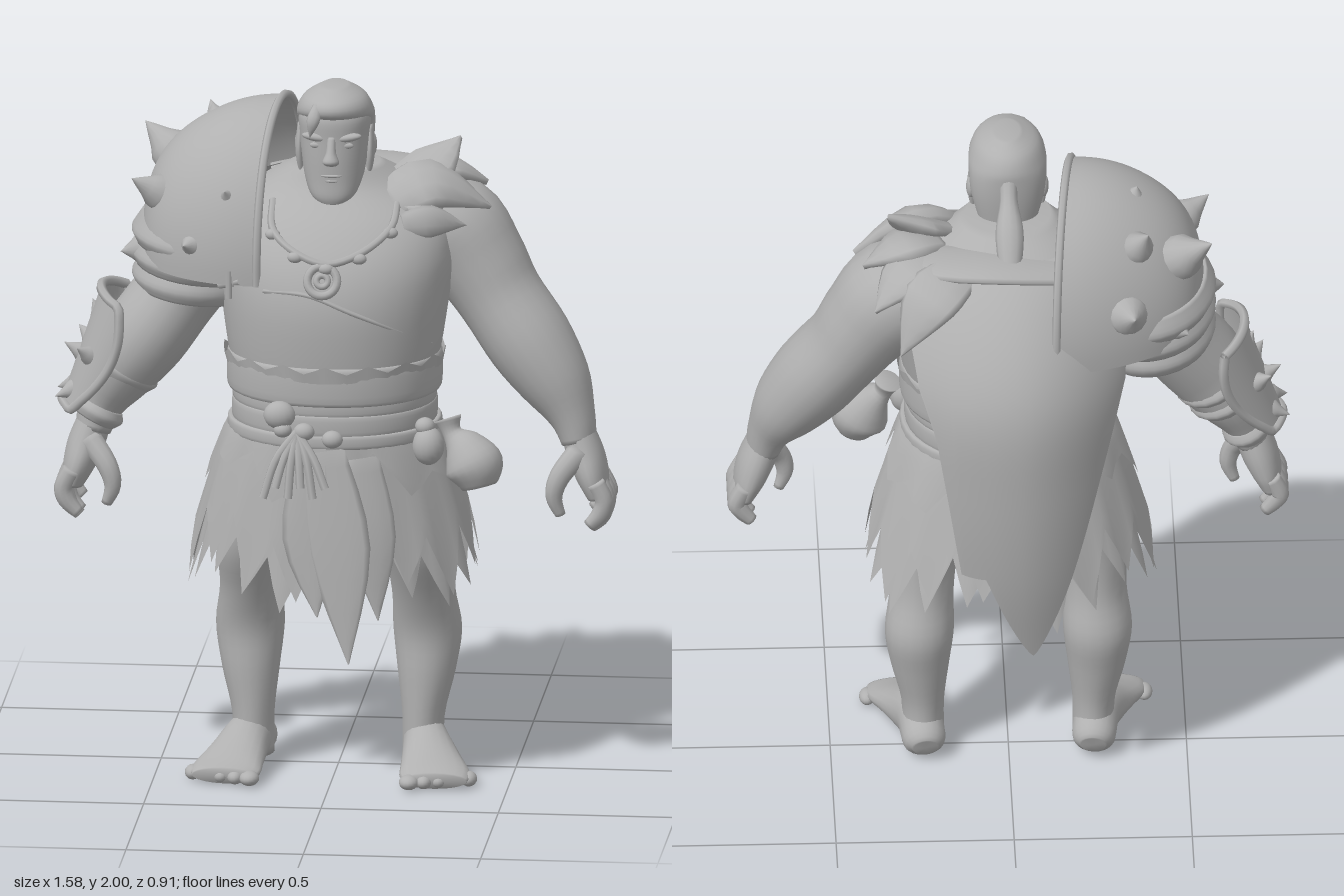
import * as THREE from 'three';

const grey = new THREE.MeshStandardMaterial({ color: 0xb0b0b0, side: THREE.DoubleSide });
grey.name = 'stone grey';
const V = (x, y, z) => new THREE.Vector3(x, y, z);

function geometryFrom(pos, index) {
  const g = new THREE.BufferGeometry();
  g.setAttribute('position', new THREE.Float32BufferAttribute(pos, 3));
  g.setIndex(index);
  g.computeVertexNormals();
  return g;
}

// Smooth body through rows [x, y, z, radiusAcross, radiusAlongRef]
function loft(rows, { n = 20, flat = false, ref = V(0, 0, 1), pow = 2 } = {}) {
  const at = (s) => {
    const i = Math.min(Math.floor(s), rows.length - 2), t = s - i;
    const [a, b, c, d] = [i - 1, i, i + 1, i + 2].map((k) => rows[Math.max(0, Math.min(rows.length - 1, k))]);
    return b.map((_, k) => 0.5 * (2 * b[k] + (c[k] - a[k]) * t + (2 * a[k] - 5 * b[k] + 4 * c[k] - d[k]) * t * t
      + (3 * b[k] - a[k] - 3 * c[k] + d[k]) * t ** 3));
  };
  const last = rows.length - 1, rings = [[0, 0.001]];
  for (let i = 0; i <= last * 4; i++) rings.push([i / 4, 1]);
  rings.push([last, 0.001]);
  const pos = [], index = [];
  const up = V(0, Math.sign(rows[last][1] - rows[0][1]), 0);
  for (const [s, k] of rings) {
    const p = at(s), q0 = at(Math.max(0, s - 0.05)), q1 = at(Math.min(last, s + 0.05));
    const T = flat ? up : V(q1[0] - q0[0], q1[1] - q0[1], q1[2] - q0[2]).normalize();
    const U = ref.clone().addScaledVector(T, -T.dot(ref)).normalize(), W = T.clone().cross(U);
    for (let j = 0; j < n; j++) {
      const th = j / n * Math.PI * 2;
      const e = (v) => Math.sign(v) * Math.abs(v) ** (2 / pow);
      const a = Math.max(0, p[3]) * k * e(Math.cos(th)), b = Math.max(0, p[4]) * k * e(Math.sin(th));
      pos.push(p[0] + W.x * a + U.x * b, p[1] + W.y * a + U.y * b, p[2] + W.z * a + U.z * b);
    }
  }
  for (let i = 0; i < rings.length - 1; i++) for (let j = 0; j < n; j++) {
    const a = i * n + j, b = i * n + (j + 1) % n, c = a + n, d = b + n;
    index.push(a, c, b, b, c, d);
  }
  return geometryFrom(pos, index);
}

// Open surface from a rule f(u, v)
function sheet(nu, nv, f) {
  const pos = [], index = [];
  for (let i = 0; i <= nv; i++) for (let j = 0; j <= nu; j++) pos.push(...f(j / nu, i / nv));
  for (let i = 0; i < nv; i++) for (let j = 0; j < nu; j++) {
    const a = i * (nu + 1) + j, c = a + nu + 1;
    index.push(a, c, a + 1, a + 1, c, c + 1);
  }
  return geometryFrom(pos, index);
}

const tube = (pts, r, n = 32) => new THREE.TubeGeometry(new THREE.CatmullRomCurve3(pts.map((p) => V(...p))), n, r, 6);
const mix = THREE.MathUtils.lerp;
const zigzag = (x) => Math.abs((x - Math.floor(x)) * 2 - 1);

export function createModel() {
  const root = new THREE.Group();
  root.name = 'barbarian';
  const add = (name, geo) => {
    const m = new THREE.Mesh(geo, grey);
    m.name = name;
    root.add(m);
    return m;
  };
  const ball = (name, x, y, z, a, b, c) => {
    const m = add(name, new THREE.SphereGeometry(1, 16, 12));
    m.position.set(x, y, z);
    m.scale.set(a, b, c);
    return m;
  };
  // Pointed blade through three points, lying across the normal
  const blade = (name, p, q, r, w, normal, thick = 0.012) => {
    const row = (k, s) => [...k, w * s, thick * Math.max(s, 0.3)];
    return add(name, loft([row(p, 0.7), row(q, 1), row(r, 0.02)], { n: 10, ref: V(...normal) }));
  };
  const spike = (name, p, d, r, h) => {
    const pts = [[1.25, -0.2], [1.15, 0.08], [0.75, 0.35], [0.3, 0.75], [0, 1]];
    const m = add(name, new THREE.LatheGeometry(pts.map(([a, b]) => new THREE.Vector2(a * r, b * h)), 14));
    m.position.copy(p);
    m.quaternion.setFromUnitVectors(V(0, 1, 0), d.clone().normalize());
  };

  // Torso
  add('torso', loft([[0, 0.9, 0.075, 0.26, 0.22], [0, 1.0, 0.095, 0.28, 0.245], [0, 1.12, 0.105, 0.275, 0.245],
    [0, 1.25, 0.1, 0.3, 0.27], [0, 1.4, 0.08, 0.322, 0.295], [0, 1.52, 0.05, 0.335, 0.29],
    [0, 1.62, 0.015, 0.31, 0.25], [0, 1.7, -0.01, 0.21, 0.18], [0, 1.76, 0.03, 0.12, 0.11]], { n: 40, flat: true, pow: 2.1 }));
  add('neck', loft([[0, 1.6, 0.02, 0.13, 0.13], [0, 1.7, 0.06, 0.09, 0.1], [0, 1.8, 0.08, 0.08, 0.08]], { flat: true }));

  // Waist wraps and belt
  const band = (name, y, h, rx, rz) => add(name, loft([[0, y - h, 0.103, rx - 0.015, rz - 0.015], [0, y - h * 0.8, 0.103, rx, rz],
    [0, y + h * 0.8, 0.103, rx, rz], [0, y + h, 0.103, rx - 0.015, rz - 0.015]], { n: 40, flat: true, pow: 2.1 }));
  band('leatherWaist', 1.185, 0.055, 0.302, 0.278);
  band('upperBelt', 1.12, 0.025, 0.286, 0.262);
  band('lowerBelt', 1.07, 0.032, 0.288, 0.265);
  band('hipCord', 1.025, 0.02, 0.3, 0.268);
  add('waistRaggedEdge', sheet(64, 2, (u, v) => {
    const th = u * Math.PI * 2, y = mix(1.2, 1.228 + 0.022 * zigzag(u * 16), v), k = 1 + 0.025 * v;
    return [Math.sin(th) * 0.304 * k, y, 0.103 + Math.cos(th) * 0.28 * k];
  }));

  // Ragged skirt layers
  const skirt = (name, n, hem, amp, k, shift) => add(name, sheet(n * 4, 6, (u, v) => {
    const th = u * Math.PI * 2;
    const end = hem + amp * zigzag(u * n + shift) + 0.04 * Math.sin(th * 5);
    const y = mix(1.03, end, v), f = (1.03 - y) / 0.43;
    const rip = 1 + 0.02 * v * Math.cos(th * n);
    return [Math.sin(th) * mix(0.29, 0.42, f ** 0.8) * k * rip, y, mix(0.1, 0.065, f) + Math.cos(th) * mix(0.26, 0.335, f) * k * rip];
  }));
  skirt('skirtOuter', 16, 0.6, 0.17, 1, 0);
  skirt('skirtInner', 20, 0.57, 0.14, 0.94, 0.5);
  skirt('skirtTop', 11, 0.88, 0.08, 1.03, 0.25);
  blade('frontFlap', [-0.01, 1.0, 0.365], [0.04, 0.72, 0.395], [0.07, 0.4, 0.425], 0.09, [0, 0, 1]);
  blade('frontFlap', [-0.03, 1.0, 0.36], [-0.04, 0.75, 0.385], [-0.02, 0.53, 0.41], 0.08, [0, 0, 1]);
  blade('frontFlap', [0.1, 0.98, 0.35], [0.13, 0.75, 0.375], [0.15, 0.52, 0.39], 0.07, [0.3, 0, 1]);

  // Limbs, mirrored
  for (const [s, side] of [[1, 'left'], [-1, 'right']]) {
    const m = (rows) => rows.map(([x, ...r]) => [x * s, ...r]);
    const f = s < 0 ? 0.055 : 0.01; // the right arm is held further forward
    add(side + 'Leg', loft(m([[0.24, 0.03, 0, 0.06, 0.085], [0.24, 0.15, 0.005, 0.06, 0.08], [0.248, 0.28, -0.005, 0.082, 0.09],
      [0.25, 0.4, -0.015, 0.097, 0.1], [0.242, 0.52, 0.022, 0.09, 0.108], [0.232, 0.65, 0.06, 0.105, 0.138],
      [0.18, 0.8, 0.075, 0.14, 0.165], [0.15, 0.96, 0.08, 0.14, 0.18]]), { flat: true }));
    add(side + 'Foot', loft(m([[0.235, 0.05, -0.1, 0.035, 0.03], [0.238, 0.06, -0.07, 0.06, 0.058], [0.25, 0.075, 0.03, 0.065, 0.075],
      [0.275, 0.052, 0.14, 0.085, 0.05], [0.293, 0.033, 0.22, 0.1, 0.032], [0.297, 0.024, 0.27, 0.09, 0.022]]), { ref: V(0, 1, 0) }));
    for (let i = 0; i < 5; i++) {
      ball(side + 'Toe', s * (0.225 + i * 0.041), 0.021, 0.272 - i * 0.014, i ? 0.023 : 0.028, 0.021, 0.034);
    }
    add(side + 'Arm', loft(m([[0.2, 1.59, -0.05 + f, 0.11, 0.15], [0.31, 1.555, -0.055 + f, 0.15, 0.165], [0.39, 1.46, -0.045 + f, 0.137, 0.152],
      [0.455, 1.36, -0.03 + f, 0.121, 0.142], [0.542, 1.24, f, 0.121, 0.138], [0.618, 1.13, 0.03 + f * 0.4, 0.1, 0.115],
      [0.665, 1.04, 0.055, 0.066, 0.08], [0.685, 0.97, 0.065, 0.05, 0.065]])));
    add(side + 'Palm', loft(m([[0.68, 1.0, 0.065, 0.048, 0.06], [0.705, 0.93, 0.065, 0.052, 0.08],
      [0.725, 0.87, 0.07, 0.045, 0.09], [0.74, 0.82, 0.07, 0.032, 0.082]])));
    for (let i = 0; i < 4; i++) {
      const z = 0.142 - i * 0.046, d = i === 3 ? 0.03 : i === 0 ? 0.015 : 0;
      add(side + 'Finger', loft(m([[0.738, 0.87, z, 0.026, 0.025], [0.762, 0.82, z, 0.026, 0.025],
        [0.752, 0.765 + d, z, 0.025, 0.023], [0.72, 0.73 + d, z, 0.018, 0.018]]), { n: 10 }));
    }
    add(side + 'Thumb', loft(m([[0.69, 0.95, 0.11, 0.035, 0.035], [0.64, 0.89, 0.145, 0.03, 0.028],
      [0.622, 0.83, 0.15, 0.024, 0.024], [0.64, 0.775, 0.145, 0.015, 0.015]]), { n: 10 }));
    // Face and hair details
    ball(side + 'Ear', s * 0.102, 1.82, 0.075, 0.014, 0.035, 0.022);
    ball(side + 'Brow', s * 0.045, 1.868, 0.195, 0.04, 0.012, 0.016).rotation.z = s * 0.15;
    ball(side + 'Eye', s * 0.042, 1.845, 0.196, 0.02, 0.009, 0.008);
    blade(side + 'Sideburn', [s * 0.098, 1.88, 0.085], [s * 0.1, 1.8, 0.095], [s * 0.09, 1.7, 0.09], 0.03, [1, 0, 0]);
  }

  // Head
  add('head', loft([[0, 1.672, 0.165, 0.04, 0.035], [0, 1.695, 0.148, 0.064, 0.06], [0, 1.74, 0.122, 0.082, 0.086],
    [0, 1.8, 0.108, 0.092, 0.102], [0, 1.86, 0.1, 0.098, 0.11], [0, 1.92, 0.1, 0.1, 0.11], [0, 1.97, 0.1, 0.07, 0.08]], { n: 28, flat: true, pow: 2.2 }));
  add('nose', loft([[0, 1.872, 0.2, 0.012, 0.012], [0, 1.83, 0.216, 0.014, 0.016], [0, 1.803, 0.222, 0.024, 0.022],
    [0, 1.79, 0.212, 0.016, 0.012]], { n: 12, flat: true }));
  ball('upperLip', 0, 1.758, 0.2, 0.032, 0.006, 0.012);
  ball('lowerLip', 0, 1.743, 0.198, 0.026, 0.007, 0.012);
  ball('chin', 0, 1.698, 0.187, 0.034, 0.025, 0.02);
  add('hair', loft([[0, 1.72, 0.03, 0.075, 0.05], [0, 1.82, 0.04, 0.102, 0.075], [0, 1.89, 0.055, 0.109, 0.095],
    [0, 1.93, 0.092, 0.107, 0.13], [0, 1.97, 0.1, 0.085, 0.115], [0, 1.998, 0.09, 0.035, 0.055]], { n: 28, flat: true }));
  blade('forelock', [-0.04, 1.96, 0.2], [-0.05, 1.92, 0.225], [-0.06, 1.87, 0.215], 0.018, [0, 0, 1]);
  add('ponytail', loft([[0, 1.9, -0.01, 0.03, 0.03], [0, 1.85, -0.05, 0.025, 0.025], [0, 1.77, -0.12, 0.04, 0.03],
    [0, 1.64, -0.21, 0.02, 0.02]], { n: 12, ref: V(0, 1, 0) }));

  // Cape, bulging behind the back, with one long and one shorter point
  const profile = new THREE.CatmullRomCurve3([[1.74, -0.08], [1.69, -0.23], [1.55, -0.37], [1.37, -0.455], [1.1, -0.46],
    [0.8, -0.43], [0.53, -0.37]].map(([y, z]) => V(0, y, z)));
  add('cape', sheet(60, 28, (u, v) => {
    const q = u * 2 - 1, long = Math.abs(q + 0.1), second = Math.max(0, 0.12 - 0.5 * Math.abs(q - 0.6));
    const len = 1 - (q > -0.1 ? 0.47 : 0.58) * long ** 1.25 + second;
    const p = profile.getPoint(Math.min(1, Math.max(0, v * len)));
    const w = mix(0.35, 0.29, v), lean = q > 0 ? mix(0.16, 0.11, v) : 0.2;
    return [-0.03 * v + q * w, p.y - 0.05 * q * q * (1 - v), p.z + lean * q * q];
  }));
  // Cloth drawn round the neck and left shoulder
  add('capeCollar', loft([[0.22, 1.64, 0.16, 0.05, 0.025], [0.27, 1.68, 0.02, 0.08, 0.03], [0.21, 1.7, -0.12, 0.09, 0.025],
    [0.02, 1.705, -0.16, 0.09, 0.025], [-0.2, 1.67, -0.13, 0.08, 0.025]], { n: 16, ref: V(0, 1, 0) }));
  // Overlapping leather leaves on the left shoulder
  blade('shoulderLeaf', [0.15, 1.66, 0.12], [0.27, 1.71, 0.08], [0.43, 1.63, 0.03], 0.09, [0.2, 0.8, 0.5], 0.04);
  blade('shoulderLeaf', [0.17, 1.7, 0.04], [0.26, 1.74, 0], [0.34, 1.81, -0.06], 0.085, [0, 0.9, 0.4], 0.03);
  blade('shoulderLeaf', [0.2, 1.7, -0.02], [0.3, 1.72, -0.07], [0.41, 1.67, -0.1], 0.085, [0.3, 1, 0], 0.03);
  blade('shoulderLeaf', [0.18, 1.7, -0.1], [0.29, 1.69, -0.17], [0.38, 1.6, -0.23], 0.085, [0.3, 1, -0.4], 0.025);
  blade('shoulderLeaf', [0.13, 1.7, -0.16], [0.23, 1.66, -0.26], [0.31, 1.5, -0.3], 0.085, [0.3, 0.7, -0.8], 0.02);
  blade('shoulderLeaf', [0.2, 1.62, 0.2], [0.28, 1.625, 0.17], [0.37, 1.6, 0.11], 0.045, [0.3, 0.3, 1], 0.02);

  // Great spiked shoulder guard
  const dome = (u, v) => {
    const f = mix(-0.1, Math.PI + 0.1, u), t = v * Math.PI / 2 * 0.999, r = Math.cos(t) ** 0.7;
    const z = -0.02 + (0.305 + 0.02 * Math.cos(t) ** 8) * r * Math.cos(f);
    return [-0.165 - 0.385 * Math.sin(t) ** 0.85 - 0.12 * z * Math.cos(t), 1.5 + (0.4 + 0.025 * Math.cos(t) ** 8) * r * Math.sin(f), z];
  };
  add('shoulderGuard', sheet(40, 24, dome));
  add('shoulderGuardRim', tube(Array.from({ length: 17 }, (_, i) => dome(i / 16, 0)), 0.012, 60));
  // Overlapping lower plates round the upper arm
  for (let i = 0; i < 3; i++) {
    const y = 1.58 - i * 0.062, x = -0.375 - i * 0.012, k = 1 - i * 0.06;
    add('shoulderGuardFold', loft([[x, y, -0.015, 0.18 * k, 0.25 * k], [x - 0.004, y - 0.05, -0.015, 0.205 * k, 0.27 * k],
      [x - 0.008, y - 0.085, -0.015, 0.19 * k, 0.25 * k]], { n: 32 }));
  }
  for (const [x, y, z, r, h] of [[-0.49, 1.73, -0.16, 0.052, 0.11], [-0.36, 1.79, -0.2, 0.036, 0.08], [-0.35, 1.86, -0.05, 0.028, 0.035],
    [-0.5, 1.68, 0.12, 0.043, 0.09], [-0.29, 1.7, 0.24, 0.022, 0.04], [-0.39, 1.56, 0.25, 0.03, 0.045],
    [-0.56, 1.49, 0.05, 0.035, 0.05], [-0.33, 1.62, -0.3, 0.045, 0.06], [-0.47, 1.52, -0.22, 0.028, 0.04]])
    spike('shoulderSpike', V(x, y, z), V(x + 0.25, y - 1.52, z + 0.02), r, h);
  add('guardStitch', tube([[-0.31, 1.45, 0.27], [-0.25, 1.47, 0.3]], 0.01, 4));
  add('guardStitch', tube([[-0.28, 1.5, 0.295], [-0.28, 1.42, 0.295]], 0.01, 4));

  // Right bracer: flared outer plate with rim, wraps and spikes
  const plate = (u, v) => {
    const a = mix(-1.35, 1.35, u) * Math.sin(Math.PI * mix(0.2, 0.85, v)) ** 0.6, r = mix(0.155, 0.1, v);
    const out = Math.cos(a) * r, x = mix(-0.53, -0.685, v), y = mix(1.305, 1.01, v);
    return [x - out * 0.87, y + out * 0.49, mix(0.035, 0.06, v) + Math.sin(a) * (r + 0.008)];
  };
  add('bracerPlate', sheet(24, 12, plate));
  const edge = Array.from({ length: 9 }, (_, i) => i / 8);
  const border = [...edge.map((k) => plate(k, 0)), ...edge.slice(1).map((k) => plate(1, k)),
    ...edge.slice(1).map((k) => plate(1 - k, 1)), ...edge.slice(1).map((k) => plate(0, 1 - k))];
  add('bracerRim', tube(border, 0.014, 80));
  for (const [x, y, z, w] of [[-0.565, 1.22, 0.05, 0.122], [-0.595, 1.17, 0.05, 0.114], [-0.662, 1.045, 0.055, 0.08]])
    add('bracerWrap', loft([[x, y, z, w - 0.015, w], [x - 0.012, y - 0.022, z + 0.003, w, w + 0.014], [x - 0.024, y - 0.044, z + 0.006, w - 0.015, w]]));
  for (const [x, y, z] of [[-0.72, 1.19, 0.05], [-0.69, 1.2, 0.13], [-0.7, 1.21, -0.02], [-0.74, 1.09, 0.1], [-0.74, 1.09, 0.02], [-0.67, 1.29, 0.04]])
    spike('bracerSpike', V(x, y, z), V(x + 0.61, y - 1.13, z - 0.04), 0.024, 0.055);

  // Necklace
  const cord = [[-0.17, 1.67, 0.15], [-0.16, 1.61, 0.25], [-0.09, 1.565, 0.325], [0, 1.54, 0.35], [0.09, 1.565, 0.325], [0.17, 1.62, 0.24], [0.18, 1.67, 0.14]];
  add('necklaceCord', tube(cord, 0.011));
  for (const [x, y, z] of cord.slice(1, 6)) ball('necklaceBead', x, y - 0.012, z + 0.005, 0.022, 0.016, 0.016);
  for (const [r, t] of [[0.042, 0.012], [0.016, 0.009]]) {
    const ring = add('pendant', new THREE.TorusGeometry(r, t, 8, 24));
    ring.position.set(-0.01, 1.495, 0.365);
    ring.rotation.x = -0.35;
  }
  add('garmentEdge', tube([[-0.18, 1.45, 0.32], [-0.05, 1.45, 0.362], [0.08, 1.4, 0.366], [0.2, 1.34, 0.308], [0.28, 1.28, 0.2]], 0.007));

  // Belt ornaments
  ball('beltSkull', -0.13, 1.105, 0.37, 0.045, 0.04, 0.035);
  ball('beltSkullJaw', -0.12, 1.065, 0.38, 0.026, 0.022, 0.024);
  ball('beltKnot', -0.06, 1.06, 0.38, 0.03, 0.025, 0.025);
  ball('beltBead', 0.02, 1.04, 0.38, 0.03, 0.025, 0.025);
  for (let i = 0; i < 6; i++) {
    const x = -0.17 + i * 0.035;
    add('beltTassel', tube([[-0.08, 1.06, 0.385], [mix(-0.08, x, 0.6), 0.99, 0.415], [x, 0.88 + 0.03 * (i % 2), 0.435]], 0.012, 8));
  }
  add('pouch', loft([[0.33, 1.07, 0.23, 0.04, 0.04], [0.345, 1.03, 0.24, 0.028, 0.028], [0.38, 0.99, 0.25, 0.062, 0.062],
    [0.41, 0.94, 0.262, 0.084, 0.08], [0.425, 0.885, 0.27, 0.05, 0.05]], { n: 18 }));
  ball('smallPouch', 0.28, 1.0, 0.27, 0.045, 0.055, 0.045);
  ball('smallPouchNeck', 0.27, 1.055, 0.265, 0.028, 0.025, 0.028);
  return root;
}
